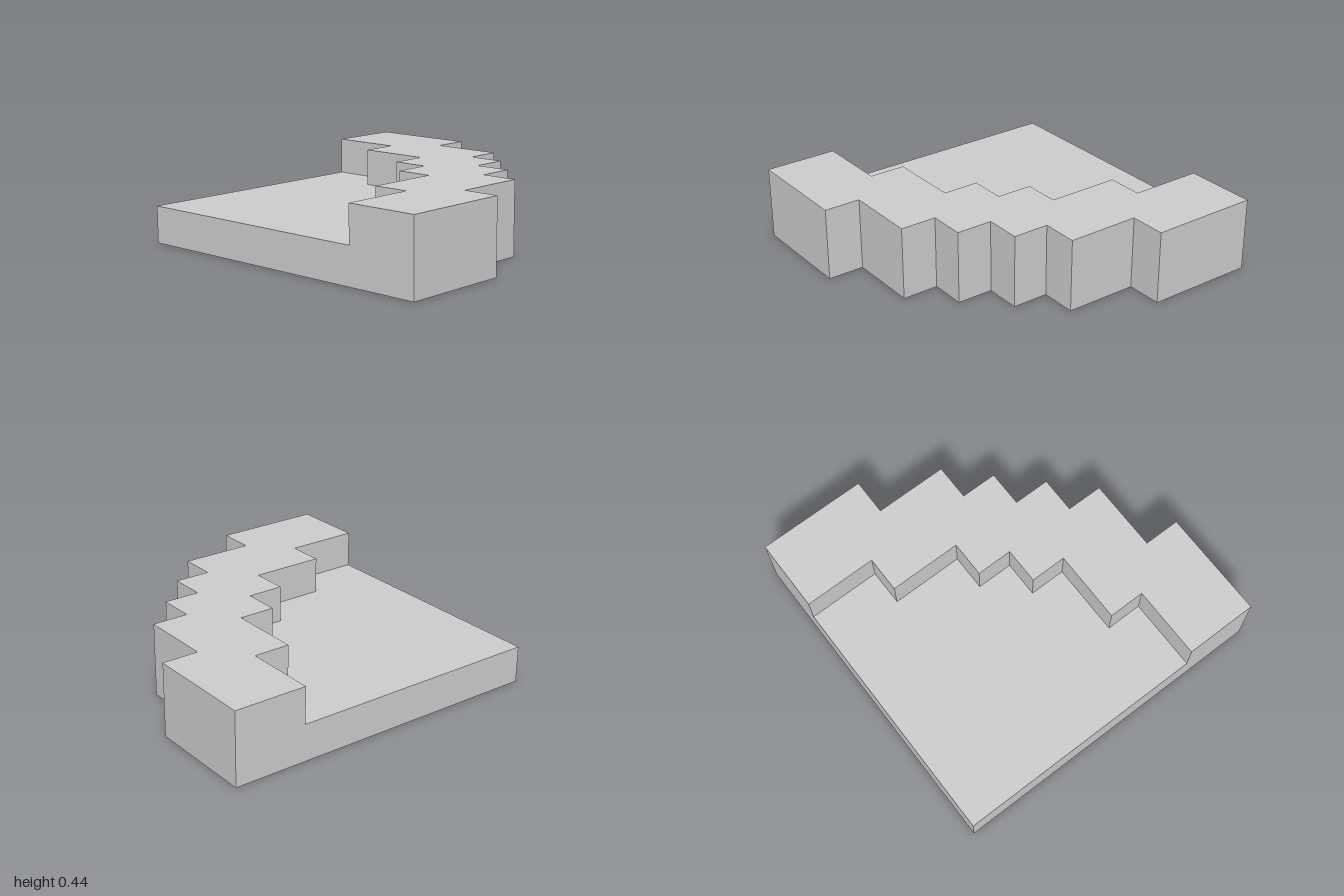
import * as THREE from 'three';

const CELL = 2 / 9; // plan is a 9 x 9 grid of cells
const FLOOR = CELL, TOP = 2 * CELL;

// Stepped edges in grid cells (column, row), from the left side to the back
const outer = [[0, 9], [3, 9], [3, 8], [5, 8], [5, 7], [6, 7], [6, 6], [7, 6], [7, 5], [8, 5], [8, 3], [9, 3], [9, 0]];
const inner = [[0, 7], [2, 7], [2, 6], [4, 6], [4, 5], [5, 5], [5, 4], [6, 4], [6, 2], [7, 2], [7, 0]];
const innerBack = [...inner].reverse();
const corner = [0, 0];

const place = ([i, k]) => [i * CELL - 1, k * CELL - 1];

// Flat horizontal face, turned up or down
function cap(cells, y, up = true) {
  const side = up ? -1 : 1;
  const pts = cells.map(place).map(([x, z]) => new THREE.Vector2(x, side * z));
  return new THREE.ShapeGeometry(new THREE.Shape(pts))
    .rotateX(side * Math.PI / 2)
    .translate(0, y, 0);
}

// Vertical faces along a path; the visible side has the path running left to right
function wall(cells, y0, y1) {
  const pos = [];
  const pts = cells.map(place);
  for (let n = 0; n < pts.length - 1; n++) {
    const [ax, az] = pts[n], [bx, bz] = pts[n + 1];
    pos.push(ax, y0, az, bx, y0, bz, bx, y1, bz, ax, y0, az, bx, y1, bz, ax, y1, az);
  }
  const g = new THREE.BufferGeometry();
  g.setAttribute('position', new THREE.Float32BufferAttribute(pos, 3));
  g.computeVertexNormals();
  return g;
}

export function createModel() {
  const model = new THREE.Group();
  model.name = 'steppedCornerPlatform';
  const material = new THREE.MeshStandardMaterial({ color: 0xcccccc, flatShading: true });
  const add = (name, geometry) => {
    const mesh = new THREE.Mesh(geometry, material);
    mesh.name = name;
    model.add(mesh);
  };

  // Low slab in the back corner
  add('underside', cap([corner, ...outer], 0, false));
  add('slabFloor', cap([corner, ...inner], FLOOR));
  add('slabSides', wall([inner.at(-1), corner, inner[0]], 0, FLOOR));

  // Raised stepped rim
  add('rimTop', cap([...outer, ...innerBack], TOP));
  add('rimOuterWall', wall([inner[0], ...outer, inner.at(-1)], 0, TOP));
  add('rimInnerWall', wall(innerBack, FLOOR, TOP));

  return model;
}
